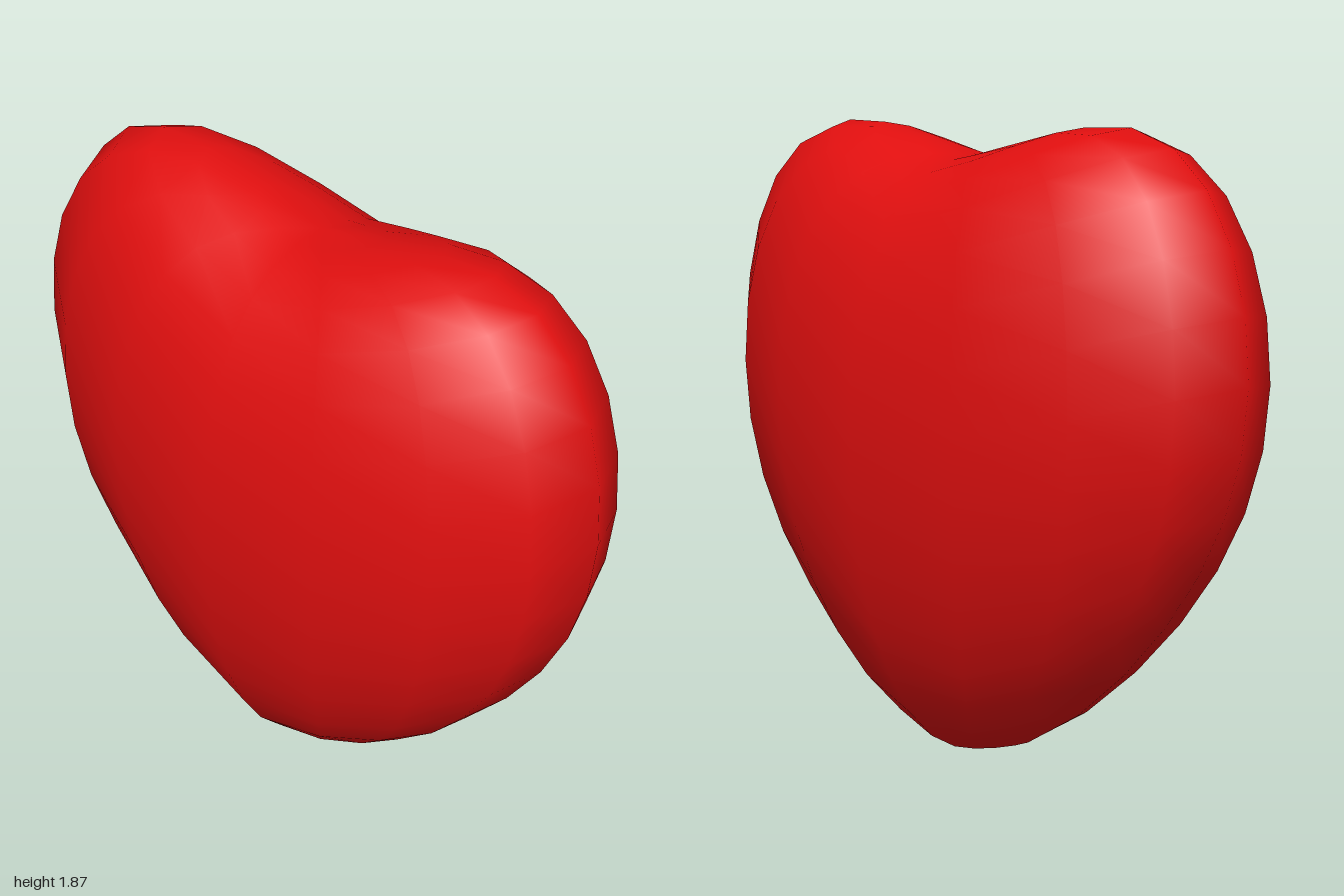
import * as THREE from 'three';
import { mergeVertices } from 'three/addons/utils/BufferGeometryUtils.js';

// Sphere pushed into a plump heart: flattened in x, lobes raised along z
function heartGeometry() {
  let geo = new THREE.SphereGeometry(1, 16, 16);
  geo.deleteAttribute('uv');
  geo.deleteAttribute('normal');
  geo = mergeVertices(geo, 1e-4);
  const pos = geo.attributes.position;
  for (let i = 0; i < pos.count; i++) {
    const x = pos.getX(i), y = pos.getY(i), z = pos.getZ(i);
    const s = Math.min(1, Math.hypot(x, z)); // distance from the vertical axis
    const c = s > 1e-5 ? Math.pow(Math.abs(z) / s, 1.3) : 0; // 1 towards the lobes, 0 at the flat sides

    // Middle height rises outwards, strongly along the lobes
    const lobeRise = 0.34 * Math.pow(Math.sin(Math.PI * s / 2), 1.5);
    const sideRise = 0.1 * s * s;
    const middle = 0.89 + THREE.MathUtils.lerp(sideRise, lobeRise, c);
    const half = 0.89 + THREE.MathUtils.lerp(0.06 * s * s, 0.025 * s, c);

    // Lobes are slightly fuller than a sphere, and the cleft sits a little forward
    const zz = z * (1 + 0.17 * (1 - s));
    pos.setXYZ(i, 0.48 * x, middle + half * y, zz + 0.028 * (1 - zz * zz));
  }
  geo.computeVertexNormals();
  return geo;
}

export function createModel() {
  const group = new THREE.Group();
  group.name = 'heartModel';
  const heart = new THREE.Mesh(
    heartGeometry(),
    new THREE.MeshStandardMaterial({ color: 0xe00f0f })
  );
  heart.name = 'heart';
  group.add(heart);
  return group;
}
